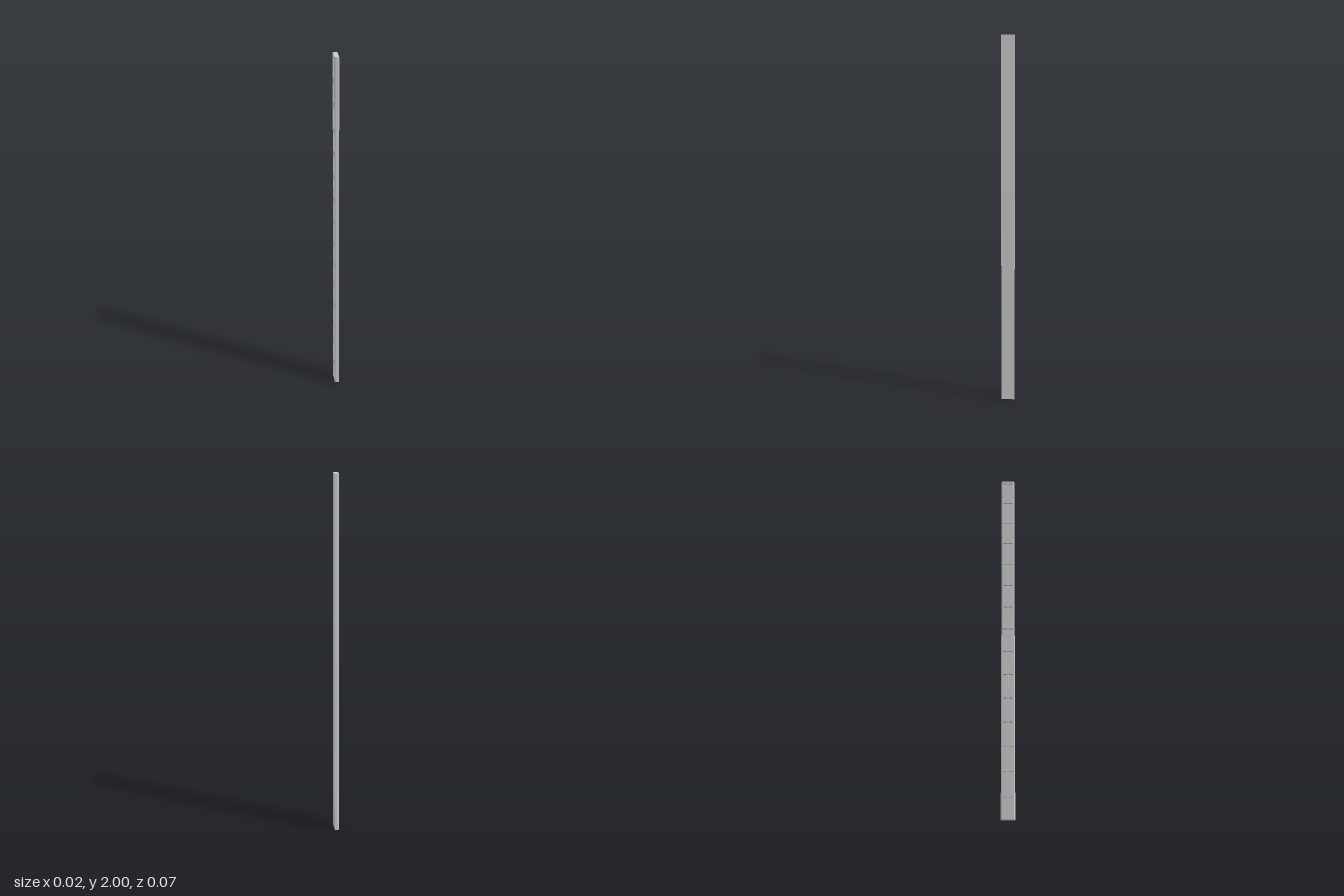
import * as THREE from 'three';

const H = 2, X = 0.012, Z = 0.0365;   // height, half thickness, half width
const FLOOR = -0.002;                 // depth at which the recesses end
const FACE_Z = 0.029;                 // half width of the recessed face

const material = new THREE.MeshStandardMaterial({ color: 0xcccccc });

// Extrudes an (x, z) outline up the full height
function upright(name, points) {
  const shape = new THREE.Shape(points.map(([x, z]) => new THREE.Vector2(x, -z)));
  const geometry = new THREE.ExtrudeGeometry(shape, { depth: H, bevelEnabled: false });
  geometry.rotateX(-Math.PI / 2);
  const mesh = new THREE.Mesh(geometry, material);
  mesh.name = name;
  return mesh;
}

function rect(path, z0, y0, z1, y1) {
  path.moveTo(z0, y0);
  path.lineTo(z1, y0);
  path.lineTo(z1, y1);
  path.lineTo(z0, y1);
  path.closePath();
  return path;
}

export function createModel() {
  const group = new THREE.Group();
  group.name = 'slottedStrip';

  // Solid plain half
  group.add(upright('body', [[FLOOR, -Z], [X, -Z], [X, Z], [FLOOR, Z]]));

  // Rounded long edges on the slotted side
  for (const s of [-1, 1]) {
    group.add(upright(s > 0 ? 'frontEdge' : 'backEdge', [
      [FLOOR, s * FACE_Z], [FLOOR, s * Z], [-0.006, s * 0.0358],
      [-0.009, s * 0.0345], [-0.011, s * 0.0328], [-X, s * 0.031], [-X, s * FACE_Z],
    ]));
  }

  // Face with fifteen pairs of shallow recesses
  const face = rect(new THREE.Shape(), -FACE_Z, 0, FACE_Z, H);
  const count = 15, pocket = 0.1, margin = 0.014;
  const pitch = (H - 2 * margin - pocket) / (count - 1);
  for (let i = 0; i < count; i++) {
    const y = margin + i * pitch;
    for (const s of [-1, 1]) {
      face.holes.push(rect(new THREE.Path(), s * 0.004, y, s * 0.026, y + pocket));
    }
  }
  const geometry = new THREE.ExtrudeGeometry(face, { depth: X + FLOOR, bevelEnabled: false });
  geometry.rotateY(-Math.PI / 2).translate(FLOOR, 0, 0);
  const plate = new THREE.Mesh(geometry, material);
  plate.name = 'recessedFace';
  group.add(plate);

  return group;
}
